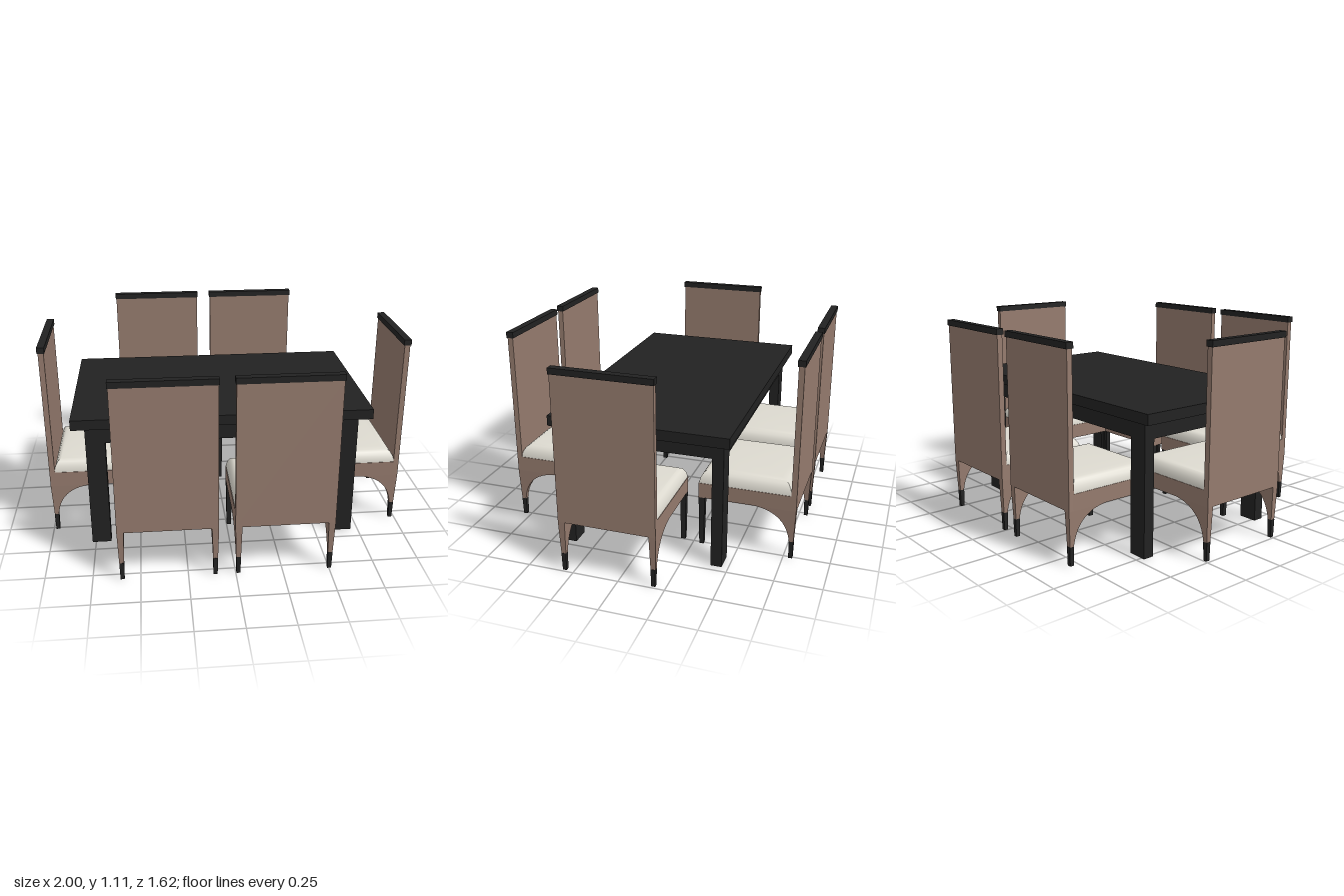
import * as THREE from 'three';
import { toCreasedNormals } from 'three/addons/utils/BufferGeometryUtils.js';

const black = new THREE.MeshStandardMaterial({ color: 0x222222 });
black.name = 'blackWood';
const brown = new THREE.MeshStandardMaterial({ color: 0x957b6e });
brown.name = 'brownUpholstery';
const cream = new THREE.MeshStandardMaterial({ color: 0xdddad0 });
cream.name = 'creamFabric';

function add(parent, name, geometry, material) {
  const mesh = new THREE.Mesh(geometry, material);
  mesh.name = name;
  parent.add(mesh);
  return mesh;
}

// box given by its minimum and maximum corners
function box(parent, name, material, [x0, y0, z0], [x1, y1, z1]) {
  const g = new THREE.BoxGeometry(x1 - x0, y1 - y0, z1 - z0);
  g.translate((x0 + x1) / 2, (y0 + y1) / 2, (z0 + z1) / 2);
  return add(parent, name, g, material);
}

// square leg standing on y = 0, narrower at the foot
function taperedLeg(parent, name, x, z, height, top, foot) {
  const g = new THREE.BoxGeometry(top, height, top).translate(0, height / 2, 0);
  const p = g.attributes.position;
  for (let i = 0; i < p.count; i++) {
    if (p.getY(i) < 0.001) {
      p.setX(i, p.getX(i) * foot / top);
      p.setZ(i, p.getZ(i) * foot / top);
    }
  }
  g.computeVertexNormals();
  add(parent, name, g, black).position.set(x, 0, z);
}

// rear leg with arched bracket, profile in the side plane
function rearLegGeometry() {
  const s = new THREE.Shape();
  s.moveTo(-0.265, 0.285);
  s.lineTo(-0.258, 0.1);
  s.lineTo(-0.235, 0.1);
  s.quadraticCurveTo(-0.215, 0.265, -0.045, 0.285);
  s.closePath();
  const g = new THREE.ExtrudeGeometry(s, { depth: 0.036, bevelEnabled: false, curveSegments: 10 });
  g.translate(0, 0, -0.018).rotateY(-Math.PI / 2);
  const p = g.attributes.position;
  for (let i = 0; i < p.count; i++) {
    const t = (0.285 - p.getY(i)) / 0.185;
    p.setX(i, p.getX(i) * (1 - 0.3 * t));
  }
  g.computeVertexNormals();
  return toCreasedNormals(g, 0.5);
}

// pillow made of square rings
function cushionGeometry() {
  const profile = [[0.26, 0.365], [0.259, 0.38], [0.252, 0.405], [0.238, 0.427],
    [0.22, 0.437], [0.19, 0.441], [0.1, 0.445], [0, 0.446]];
  const g = new THREE.LatheGeometry(
    profile.map(([r, y]) => new THREE.Vector2(r * Math.SQRT2, y)), 4, Math.PI / 4);
  g.scale(1, 1, 0.96).translate(0, 0, 0.012);
  return toCreasedNormals(g, 0.7);
}

const rearLeg = rearLegGeometry();
const cushion = cushionGeometry();

// chair facing +z
function chair(name, x, z, turn) {
  const c = new THREE.Group();
  c.name = name;
  box(c, 'seatFrame', brown, [-0.262, 0.285, -0.24], [0.262, 0.37, 0.265]);
  box(c, 'backPanel', brown, [-0.262, 0.285, -0.265], [0.262, 1.075, -0.235]);
  box(c, 'backCap', black, [-0.266, 1.075, -0.27], [0.266, 1.107, -0.23]);
  add(c, 'cushion', cushion, cream);
  for (const side of [-1, 1]) {
    taperedLeg(c, 'frontLeg', side * 0.244, 0.246, 0.285, 0.034, 0.024);
    add(c, 'rearLeg', rearLeg, brown).position.x = side * 0.244;
    taperedLeg(c, 'rearLegTip', side * 0.244, -0.2465, 0.1, 0.025, 0.021);
  }
  c.position.set(x, 0, z);
  c.rotation.y = turn;
  return c;
}

function table() {
  const t = new THREE.Group();
  t.name = 'table';
  box(t, 'tableTop', black, [-0.84, 0.709, -0.51], [0.78, 0.765, 0.46]);
  // apron frame under the top
  for (const [z0, z1] of [[-0.465, -0.405], [0.365, 0.425]]) {
    box(t, 'longApron', black, [-0.67, 0.615, z0], [0.61, 0.709, z1]);
    for (const [x0, x1] of [[-0.77, -0.665], [0.605, 0.71]]) {
      box(t, 'tableLeg', black, [x0, 0, z0], [x1, 0.709, z1]);
    }
  }
  for (const [x0, x1] of [[-0.77, -0.67], [0.61, 0.71]]) {
    box(t, 'shortApron', black, [x0, 0.615, -0.405], [x1, 0.709, 0.365]);
  }
  return t;
}

export function createModel() {
  const model = new THREE.Group();
  model.name = 'diningSet';
  model.add(table());
  for (const x of [-0.351, 0.258]) {
    model.add(chair('backChair', x, -0.543, 0));
    model.add(chair('frontChair', x, 0.54, Math.PI));
  }
  model.add(chair('rightEndChair', -0.73, 0.01, Math.PI / 2));
  model.add(chair('leftEndChair', 0.73, 0.058, -Math.PI / 2));
  return model;
}
